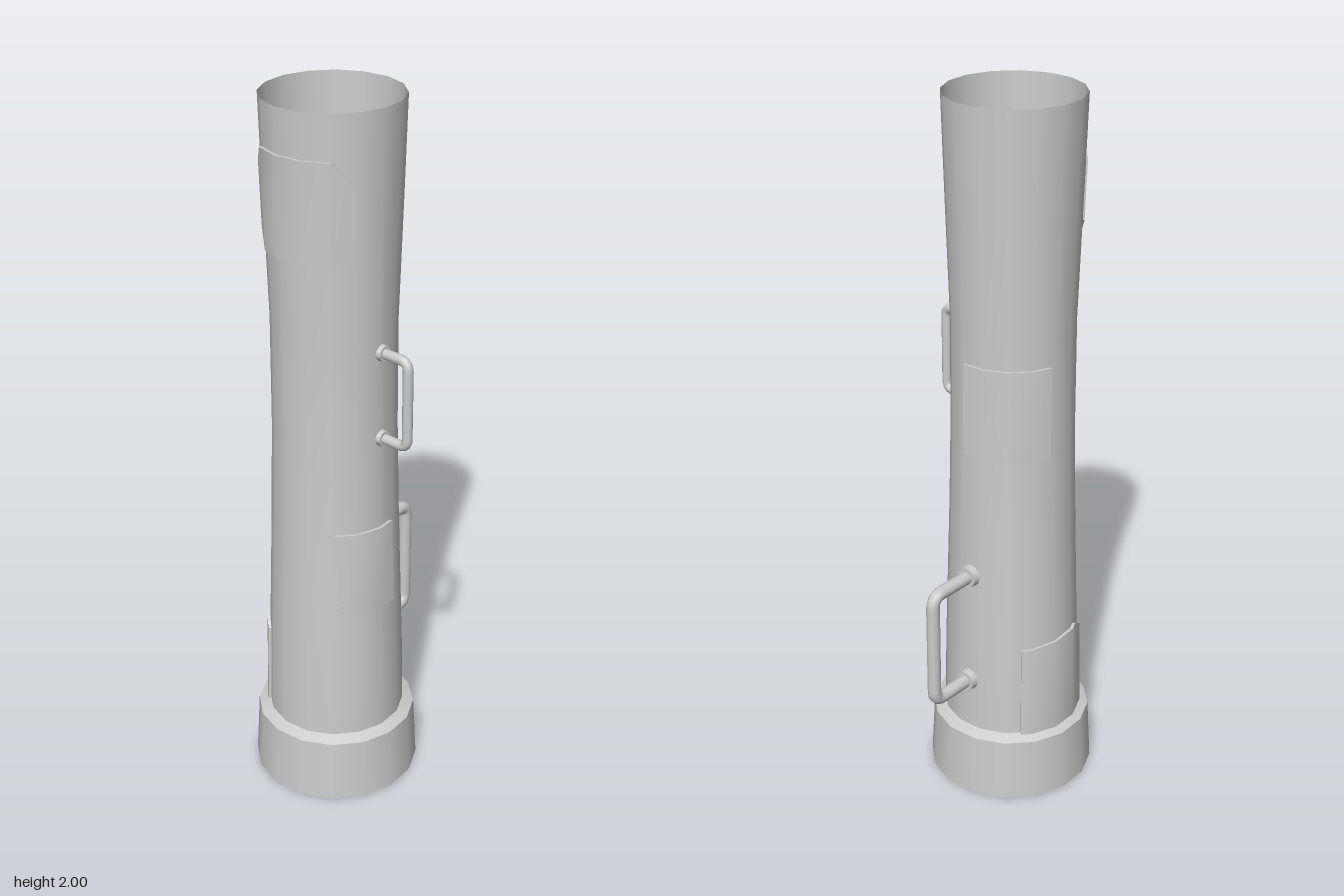
import * as THREE from 'three';
import { toCreasedNormals } from 'three/addons/utils/BufferGeometryUtils.js';

const SIDES = 16;
const STEP = 360 / SIDES;
const rad = THREE.MathUtils.degToRad;

// Waisted tube profile: [radius, height]
const PROFILE = [[0.193, 0.19], [0.189, 0.4], [0.181, 0.65], [0.175, 0.84], [0.169, 1.1],
  [0.168, 1.4], [0.178, 1.72], [0.186, 2]];

function tubeRadius(y) {
  let i = 1;
  while (i < PROFILE.length - 1 && PROFILE[i][1] < y) i++;
  const [r0, y0] = PROFILE[i - 1], [r1, y1] = PROFILE[i];
  return THREE.MathUtils.lerp(r0, r1, THREE.MathUtils.clamp((y - y0) / (y1 - y0), 0, 1));
}

// Point lying on the faceted tube, lifted outwards by an offset
function surfacePoint(deg, y, lift) {
  const local = (((deg % STEP) + STEP) % STEP) - STEP / 2;
  const r = tubeRadius(y) * Math.cos(rad(STEP / 2)) / Math.cos(rad(local)) + lift;
  return [r * Math.sin(rad(deg)), y, r * Math.cos(rad(deg))];
}

// Thin plate wrapped on the tube; outline columns are [angle, bottom, top]
function panelGeometry(outline) {
  const columns = [];
  outline.forEach((c, i) => {
    columns.push(c);
    const n = outline[i + 1];
    if (!n) return;
    for (let a = (Math.floor(c[0] / STEP) + 1) * STEP; a < n[0]; a += STEP) {
      const t = (a - c[0]) / (n[0] - c[0]);
      columns.push([a, c[1] + (n[1] - c[1]) * t, c[2] + (n[2] - c[2]) * t]);
    }
  });
  const positions = [], index = [];
  columns.forEach(([a, lo, hi], i) => {
    const section = [[lo, -0.004], [lo, 0.008], [hi, 0.008], [hi, -0.004]];
    for (const [y, lift] of section) positions.push(...surfacePoint(a, y, lift));
    if (i === 0) return;
    const p = (i - 1) * 4, q = i * 4;
    for (let k = 0; k < 3; k++) index.push(p + k, q + k, q + k + 1, p + k, q + k + 1, p + k + 1);
  });
  const e = (columns.length - 1) * 4;
  index.push(0, 1, 2, 0, 2, 3, e, e + 2, e + 1, e, e + 3, e + 2);
  const geometry = new THREE.BufferGeometry();
  geometry.setAttribute('position', new THREE.Float32BufferAttribute(positions, 3));
  geometry.setIndex(index);
  return toCreasedNormals(geometry, 0.6);
}

// Bent bar handle with a round foot at each end, built along local +z
function makeHandle(name, { angle, low, high, reach, thickness, foot, footDepth }, material) {
  const group = new THREE.Group();
  group.name = name;
  const bend = thickness * 1.8;
  const v = (y, z) => new THREE.Vector3(0, y, z);
  const inner = tubeRadius(low) - 0.01;
  const path = new THREE.CurvePath();
  path.add(new THREE.LineCurve3(v(low, inner), v(low, reach - bend)));
  path.add(new THREE.QuadraticBezierCurve3(v(low, reach - bend), v(low, reach), v(low + bend, reach)));
  path.add(new THREE.LineCurve3(v(low + bend, reach), v(high - bend, reach)));
  path.add(new THREE.QuadraticBezierCurve3(v(high - bend, reach), v(high, reach), v(high, reach - bend)));
  path.add(new THREE.LineCurve3(v(high, reach - bend), v(high, inner)));
  const bar = new THREE.Mesh(new THREE.TubeGeometry(path, 48, thickness, 10), material);
  bar.name = name + 'Bar';
  group.add(bar);
  for (const y of [low, high]) {
    const geometry = toCreasedNormals(new THREE.CylinderGeometry(foot * 0.92, foot, footDepth, 12), 0.8);
    const mesh = new THREE.Mesh(geometry, material);
    mesh.name = name + 'Foot';
    mesh.rotation.x = Math.PI / 2;
    mesh.position.set(0, y, tubeRadius(y) + footDepth * 0.2);
    group.add(mesh);
  }
  group.rotation.y = rad(angle);
  return group;
}

export function createModel() {
  const model = new THREE.Group();
  model.name = 'chimneyPipe';
  const material = new THREE.MeshStandardMaterial({ color: 0xcccccc, side: THREE.DoubleSide });

  const addLathe = (name, points) => {
    const geometry = new THREE.LatheGeometry(points.map(([r, y]) => new THREE.Vector2(r, y)), SIDES);
    const mesh = new THREE.Mesh(geometry, material);
    mesh.name = name;
    model.add(mesh);
  };

  // Open tube and its wider base collar
  addLathe('tube', PROFILE);
  addLathe('collar', [[0.235, 0], [0.225, 0.183]]);
  addLathe('collarLedge', [[0.225, 0.183], [0.192, 0.197]]);

  // Riveted-on repair plates
  const panels = {
    upperFrontPanel: [[-39, 1.66, 1.83], [-24, 1.61, 1.88], [47, 1.61, 1.88], [65, 1.61, 1.81]],
    sidePanel: [[48, 0.83, 0.84], [54, 0.59, 0.84], [107, 0.59, 0.84]],
    lowerPanel: [[-122, 0.19, 0.47], [-60, 0.19, 0.485], [-37, 0.19, 0.44]],
    backPanel: [[-178, 1.05, 1.31], [-95, 1.05, 1.31]],
  };
  for (const [name, outline] of Object.entries(panels)) {
    const mesh = new THREE.Mesh(panelGeometry(outline), material);
    mesh.name = name;
    model.add(mesh);
  }

  // Small side handle and larger back handle
  model.add(makeHandle('sideHandle', {
    angle: 95, low: 1.105, high: 1.35, reach: 0.257, thickness: 0.014, foot: 0.023, footDepth: 0.016,
  }, material));
  model.add(makeHandle('backHandle', {
    angle: -170, low: 0.35, high: 0.685, reach: 0.332, thickness: 0.019, foot: 0.032, footDepth: 0.022,
  }, material));

  model.position.set(-0.019, 0, 0.054);
  const root = new THREE.Group();
  root.name = 'pipe';
  root.add(model);
  return root;
}
